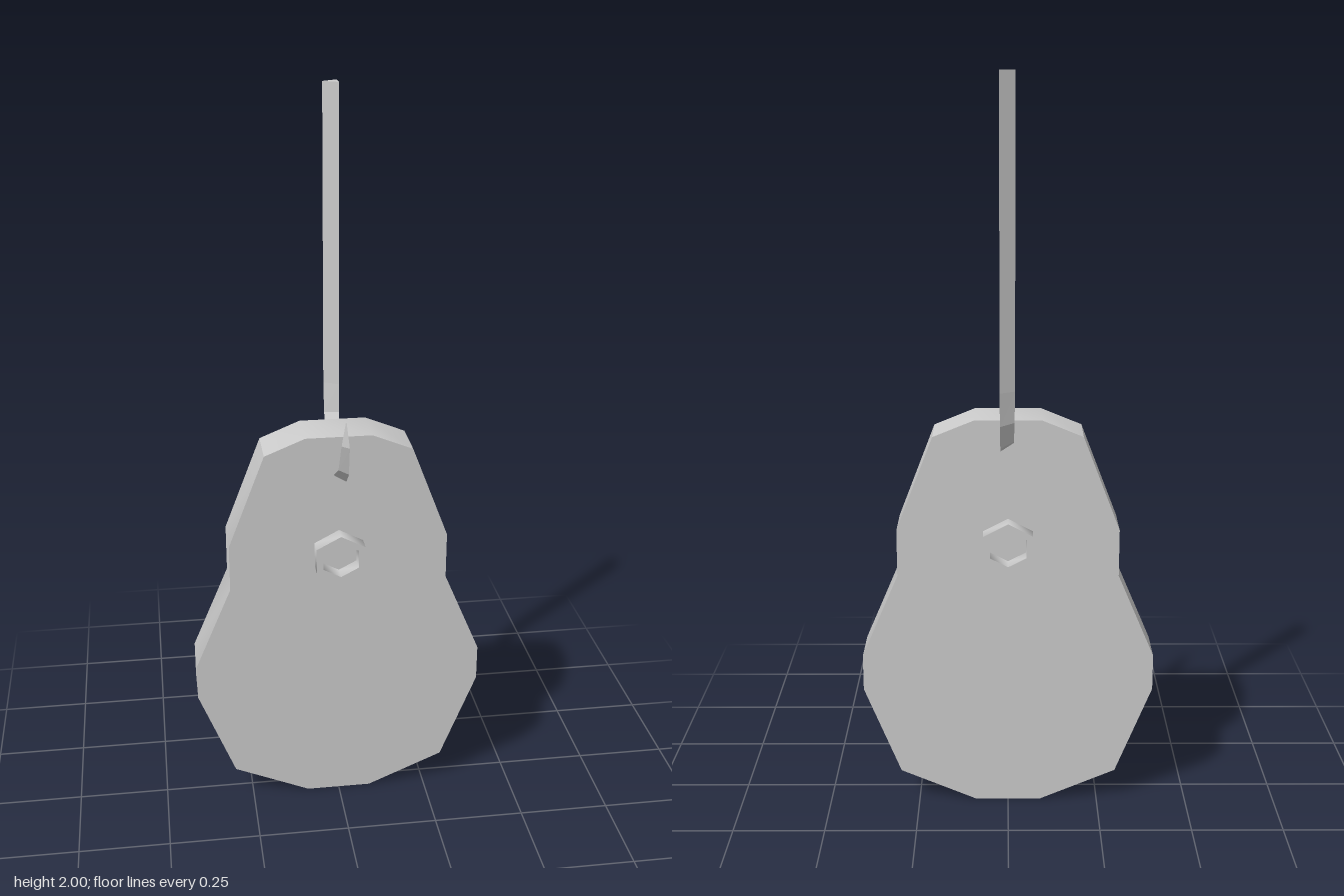
import * as THREE from 'three';
import { toCreasedNormals } from 'three/addons/utils/BufferGeometryUtils.js';

const material = new THREE.MeshStandardMaterial({ color: 0xcccccc });

function addPart(group, name, geometry, mat = material) {
  const mesh = new THREE.Mesh(geometry, mat);
  mesh.name = name;
  group.add(mesh);
  return mesh;
}

// Straight extrusion from z0 to z1, smooth across edges below the crease angle
function slab(shape, z0, z1, crease) {
  const geometry = new THREE.ExtrudeGeometry(shape, { depth: z1 - z0, bevelEnabled: false });
  geometry.translate(0, 0, z0);
  return toCreasedNormals(geometry, crease);
}

// Hexagon with a corner at the top
function hexagon(radius) {
  return Array.from({ length: 6 }, (_, i) => {
    const a = Math.PI / 2 + i * Math.PI / 3;
    return new THREE.Vector2(Math.cos(a) * radius * 1.1, Math.sin(a) * radius);
  });
}

// Triangular bar swept along a path of [y, z, scale] stations
function sweepTriangle(path) {
  const section = [[0, -0.02], [-0.023, 0.02], [0.023, 0.02]]; // [inward, x]
  const rings = path.map(([y, z, s], i) => {
    const p = path[Math.max(i - 1, 0)], q = path[Math.min(i + 1, path.length - 1)];
    const dir = new THREE.Vector2(q[0] - p[0], q[1] - p[1]).normalize();
    // the inward normal faces the inside of the hook
    const ny = dir.y, nz = -dir.x;
    return section.map(([n, x]) => [0.006 + (x - 0.004) * s, y + n * s * ny, z + n * s * nz]);
  });
  const pos = [];
  const tri = (a, b, c) => pos.push(...a, ...b, ...c);
  for (let i = 0; i < rings.length - 1; i++) {
    for (let j = 0; j < 3; j++) {
      const k = (j + 1) % 3;
      const a = rings[i][j], b = rings[i][k], c = rings[i + 1][k], d = rings[i + 1][j];
      tri(a, b, c);
      tri(a, c, d);
    }
  }
  const top = rings[0], end = rings[rings.length - 1];
  tri(top[0], top[2], top[1]);
  tri(end[0], end[1], end[2]);
  const geometry = new THREE.BufferGeometry();
  geometry.setAttribute('position', new THREE.Float32BufferAttribute(pos, 3));
  geometry.computeVertexNormals();
  return geometry;
}

export function createModel() {
  const group = new THREE.Group();
  group.name = 'hookedWeight';

  // Pear-shaped plate, mirrored about x = 0
  const half = [[0.09, 0], [0.3, 0.09], [0.4, 0.34], [0.4, 0.44],
    [0.3, 0.675], [0.3, 0.805], [0.2, 1.065], [0.09, 1.11]];
  const outline = [...half, ...half.map(([x, y]) => [-x, y]).reverse()];
  const plate = new THREE.Shape(outline.map(([x, y]) => new THREE.Vector2(x, y)));
  addPart(group, 'plate', slab(plate, -0.08, 0.052, 0.6));

  // Hollow hexagonal collars on both faces
  const collar = new THREE.Shape(hexagon(0.07));
  collar.holes.push(new THREE.Path(hexagon(0.051)));
  for (const [name, z0, z1] of [['frontCollar', 0.05, 0.096], ['backCollar', -0.126, -0.078]]) {
    addPart(group, name, slab(collar, z0, z1, 1.1)).position.y = 0.768;
  }

  // Long shank bending through the plate into a pointed hook
  const bar = material.clone();
  bar.side = THREE.DoubleSide;
  addPart(group, 'hook', sweepTriangle([
    [2, -0.129, 1], [1.2, -0.129, 1], [1.115, -0.124, 0.95], [1.055, -0.09, 0.9],
    [1.0, 0, 0.9], [1.0, 0.05, 0.85], [1.04, 0.11, 0.65], [1.12, 0.142, 0.5], [1.185, 0.143, 0.05],
  ]), bar);

  return group;
}
